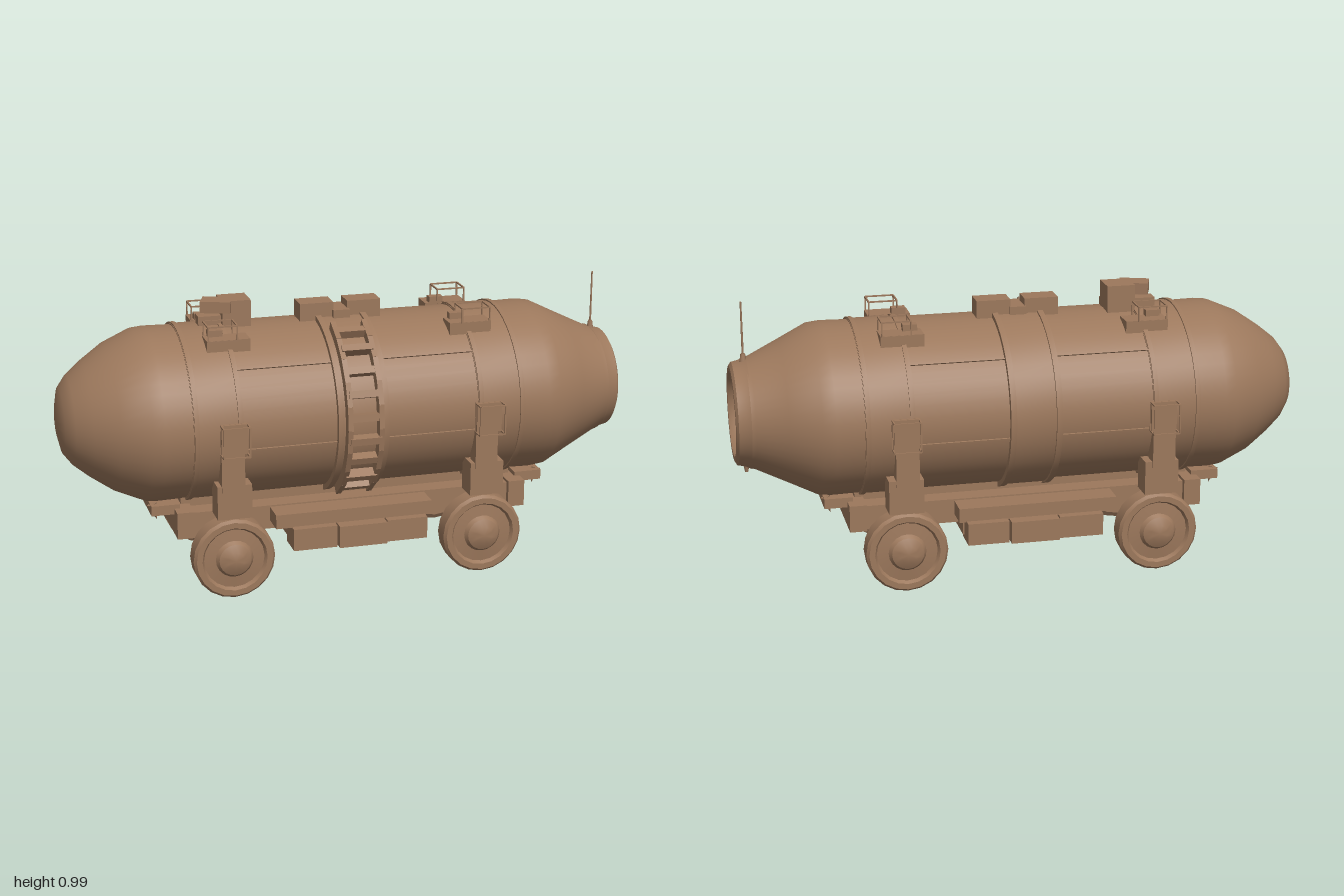
import * as THREE from 'three';
import { toCreasedNormals } from 'three/addons/utils/BufferGeometryUtils.js';

const CY = 0.595, CZ = -0.006, R = 0.3, ZS = 1.085; // tank axis, radius and sideways stretch

export function createModel() {
  const model = new THREE.Group();
  model.name = 'tankWagon';
  const tan = new THREE.MeshStandardMaterial({ color: 0x9c785c });
  tan.name = 'tan paint';
  tan.side = THREE.DoubleSide;
  const dark = new THREE.MeshStandardMaterial({ color: 0x34362a });
  dark.name = 'dark glass';

  const add = (name, geo, x = 0, y = 0, z = 0, mat = tan, parent = model) => {
    const m = new THREE.Mesh(geo, mat);
    m.name = name;
    m.position.set(x, y, z);
    parent.add(m);
    return m;
  };
  // box given by its ranges on each axis
  const box = (name, x0, x1, y0, y1, z0, z1, parent = model) =>
    add(name, new THREE.BoxGeometry(x1 - x0, y1 - y0, Math.abs(z1 - z0)),
      (x0 + x1) / 2, (y0 + y1) / 2, (z0 + z1) / 2, tan, parent);
  // surface of revolution about the x axis, from [x, radius] pairs
  const turned = (name, pts, stretch = ZS, seg = 48) => {
    const g = new THREE.LatheGeometry(pts.map(([x, r]) => new THREE.Vector2(r, x)), seg);
    g.rotateZ(-Math.PI / 2);
    g.scale(1, 1, stretch);
    return add(name, toCreasedNormals(g, 0.5), 0, CY, CZ);
  };
  // box lying on the tank skin at an angle measured from +z up to +y
  const onSkin = (name, x, a, w, along, thick, lift = 0) => {
    const r = R + lift;
    const m = add(name, new THREE.BoxGeometry(w, along, thick),
      x, CY + r * Math.sin(a), CZ + r * ZS * Math.cos(a));
    m.rotation.x = -Math.atan2(Math.sin(a) * ZS, Math.cos(a));
    return m;
  };
  // wire frame along the edges of a box
  const wireBox = (name, x0, x1, y0, y1, z0, z1) => {
    const g = new THREE.Group(), t = 0.0025;
    g.name = name;
    for (const y of [y0, y1]) for (const z of [z0, z1])
      box('wireLong', x0, x1, y - t, y + t, z - t, z + t, g);
    for (const x of [x0, x1]) for (const z of [z0, z1])
      box('wireUpright', x - t, x + t, y0, y1, z - t, z + t, g);
    for (const x of [x0, x1]) for (const y of [y0, y1])
      box('wireCross', x - t, x + t, y - t, y + t, z0, z1, g);
    model.add(g);
  };

  // tank shell with rounded rear and tapered port end
  turned('tankShell', [[-1, 0], [-0.998, 0.06], [-0.985, 0.115], [-0.955, 0.155], [-0.9, 0.2],
    [-0.82, 0.255], [-0.72, 0.298], [-0.68, 0.302], [-0.58, 0.3], [0.58, 0.3], [0.68, 0.302],
    [0.725, 0.297], [0.83, 0.245], [0.935, 0.194], [0.95, 0.19]]);
  // port collar
  turned('portCollar', [[0.93, 0.185], [0.945, 0.194], [0.965, 0.184], [0.992, 0.178], [1, 0.165],
    [1, 0.148], [0.985, 0.138], [0.95, 0.128]], 1.04);
  const port = add('portGlass', new THREE.CircleGeometry(0.135, 40), 0.953, CY - 0.005, CZ, dark);
  port.rotation.y = Math.PI / 2;

  // straps around the tank
  const strap = (name, x0, x1, lift) => turned(name,
    [[x0, R - 0.01], [x0, R + lift], [x1, R + lift], [x1, R - 0.01]]);
  for (const s of [-1, 1]) {
    strap('endStrap', s * 0.5 - 0.085, s * 0.5 + 0.085, 0.004);
    strap('strapRib', s * 0.575 - 0.008, s * 0.575 + 0.008, 0.009);
    strap('strapRib', s * 0.425 - 0.008, s * 0.425 + 0.008, 0.009);
    strap('middleRib', s * 0.08 - 0.01, s * 0.08 + 0.01, 0.018);
  }
  strap('middleStrap', -0.085, 0.085, 0.011);

  // long seams on both sides
  for (const a of [0.75, -0.18])
    for (const b of [a, Math.PI - a])
      onSkin('seam', 0, b, 0.84, 0.006, 0.006, 0.002);

  // ladder wrapped around the front side
  for (let i = 0; i < 9; i++) {
    const a = -0.85 + i * 0.24;
    for (const s of [-1, 1]) onSkin('ladderRail', s * 0.055, a, 0.018, 0.085, 0.035, 0.025);
    onSkin('ladderRung', 0, a, 0.11, 0.025, 0.035, i % 2 ? 0.03 : 0.024);
  }

  // roof boxes
  box('roofBox', -0.145, -0.025, 0.88, 0.955, -0.05, 0.03);
  box('roofBox', 0.025, 0.145, 0.88, 0.955, -0.05, 0.03);
  box('roofBridge', -0.03, 0.03, 0.88, 0.93, -0.06, 0.05);
  box('roofHatch', -0.42, -0.32, 0.88, 0.985, -0.065, 0.035);
  const flap = box('hatchFlap', -0.485, -0.38, 0.945, 0.985, -0.04, 0.035);
  flap.rotation.y = -0.35;
  box('hatchBase', -0.5, -0.37, 0.88, 0.93, -0.04, 0.01);

  for (const x of [-0.45, 0.45]) {
    for (const s of [-1, 1]) {
      // roof steps with wire guards
      const z0 = CZ + s * 0.1, z1 = CZ + s * 0.18;
      const cx = x < 0 ? -0.43 : 0.43;
      box('roofStep', cx - 0.075, cx + 0.075, 0.845, 0.888, z0, z1);
      box('roofStepBlock', cx - 0.06, cx - 0.01, 0.88, 0.91, z0, z0 + s * 0.03);
      wireBox('roofGuard', x - 0.05, x + 0.05, 0.885, 0.936, z0, z1);
      // side steps and the saddle legs below them
      wireBox('sideGuard', x - 0.045, x + 0.045, 0.535, 0.638, CZ + s * 0.33, CZ + s * 0.378);
      box('sidePlate', x - 0.045, x + 0.045, 0.535, 0.64, CZ + s * 0.315, CZ + s * 0.342);
      box('saddleLeg', x - 0.045, x + 0.035, 0.4, 0.54, CZ + s * 0.28, CZ + s * 0.335);
      box('saddleFoot', x - 0.06, x + 0.06, 0.3, 0.42, CZ + s * 0.24, CZ + s * 0.328);
      box('wheelArm', x - 0.03, x + 0.03, 0.2, 0.31, s * 0.2, s * 0.23);
    }
  }

  // wheels with rims and domed hubs
  const wheelProfile = [[0, -0.042], [0.125, -0.042], [0.143, -0.03], [0.143, 0.03], [0.134, 0.041],
    [0.114, 0.041], [0.106, 0.028], [0.066, 0.032], [0.056, 0.046], [0.03, 0.058], [0, 0.062]];
  for (const x of [-0.45, 0.445]) for (const s of [-1, 1]) {
    const g = new THREE.LatheGeometry(wheelProfile.map(p => new THREE.Vector2(...p)), 20);
    g.rotateX(s * Math.PI / 2);
    add('wheel', toCreasedNormals(g, 0.5), x, 0.147, s * 0.268);
  }

  // chassis, axles and belly plate
  box('chassis', -0.62, 0.62, 0.205, 0.29, -0.2, 0.2);
  box('chassisSpine', -0.6, 0.6, 0.26, 0.34, -0.13, 0.13);
  box('bellyPlate', -0.24, 0.24, 0.175, 0.23, -0.25, 0.25);
  for (const s of [-1, 1]) {
    box('axle', s * 0.45 - 0.06, s * 0.45 + 0.06, 0.165, 0.215, -0.235, 0.235);
    box('endBeam', s * 0.6 - 0.03, s * 0.6 + 0.03, 0.205, 0.3, -0.22, 0.22);
    // stepped lockers along each side
    box('lockerShelf', -0.3, 0.26, 0.235, 0.285, s * 0.19, s * 0.29);
    for (const [a, b, d] of [[-0.245, -0.09, 0.32], [-0.085, 0.085, 0.335], [0.09, 0.235, 0.32]])
      box('locker', a, b, 0.16, 0.238, s * 0.22, s * d);
    // hooks under the tank ends
    for (const z of [-0.14, -0.07, 0, 0.07, 0.14]) {
      const hook = add('hook', new THREE.ConeGeometry(0.018, 0.06, 4), s * 0.695, 0.285, z);
      hook.rotation.z = Math.PI - s * 0.3;
    }
    box('hookBeam', s * 0.66 - 0.05, s * 0.66 + 0.05, 0.28, 0.315, -0.17, 0.17);
  }

  // aerial and lower lug on the collar
  add('aerial', new THREE.CylinderGeometry(0.003, 0.004, 0.22, 8), 0.953, 0.88, CZ);
  add('aerialBase', new THREE.CylinderGeometry(0.008, 0.014, 0.035, 8), 0.953, 0.79, CZ);
  add('collarLug', new THREE.CylinderGeometry(0.012, 0.006, 0.035, 8), 0.957, 0.398, CZ);
  return model;
}
